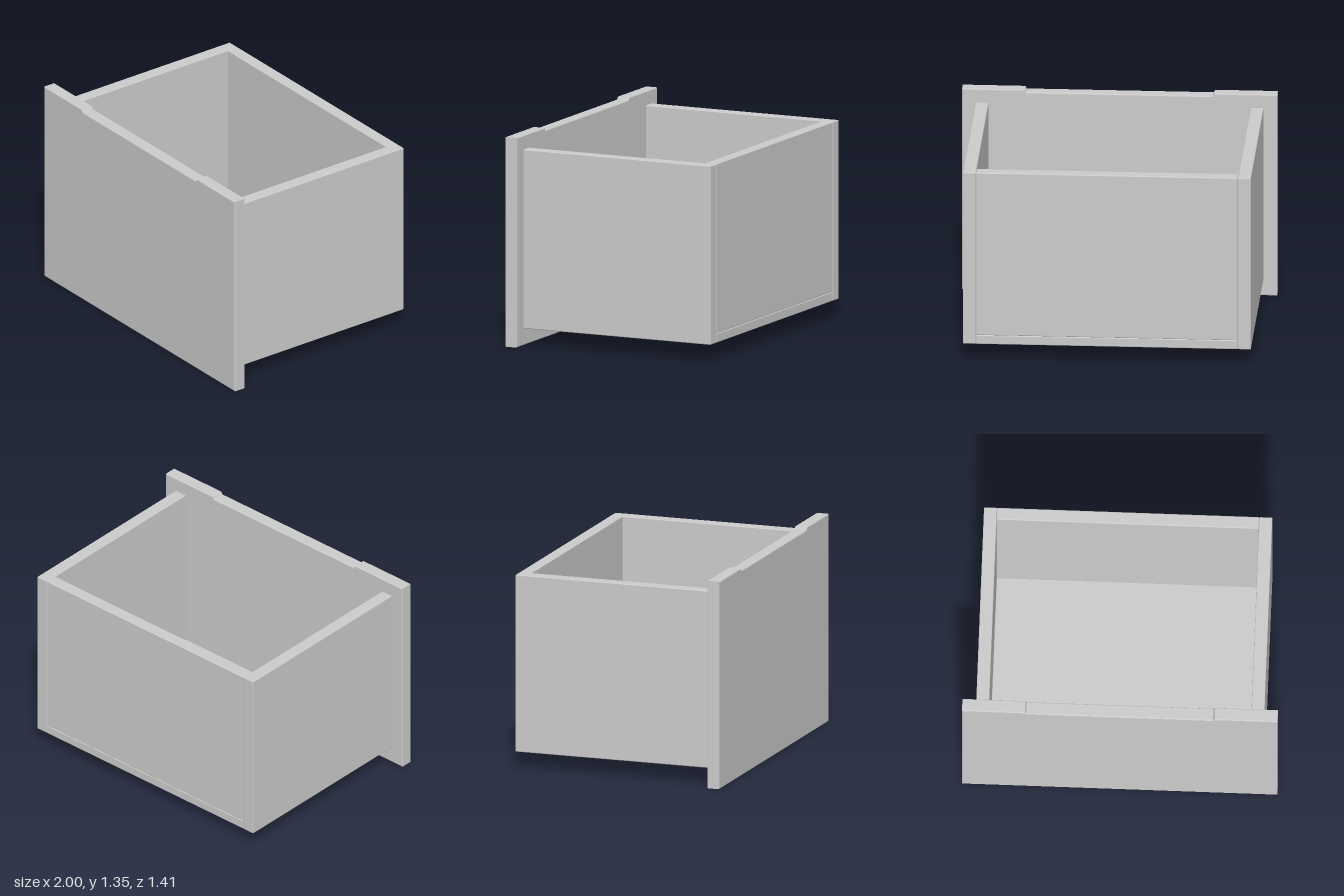
import * as THREE from 'three';
import { RoundedBoxGeometry } from 'three/addons/geometries/RoundedBoxGeometry.js';

const material = new THREE.MeshStandardMaterial({ color: 0xcccccc });

// Board with softly rounded edges, given by its minimum and maximum corners
function board(name, min, max) {
  const size = max.map((v, i) => v - min[i]);
  const mesh = new THREE.Mesh(new RoundedBoxGeometry(...size, 2, 0.006), material);
  mesh.position.set(...max.map((v, i) => (v + min[i]) / 2));
  mesh.name = name;
  return mesh;
}

// Face panel with a shallow finger recess along its top edge
function facePanel() {
  const b = 0.006, w = 1 - b, top = 1.35 - b, dip = 1.333 - b;
  const shape = new THREE.Shape();
  shape.moveTo(-w, b);
  shape.lineTo(w, b);
  shape.lineTo(w, top);
  shape.lineTo(0.605, top);
  shape.lineTo(0.595, dip);
  shape.lineTo(-0.595, dip);
  shape.lineTo(-0.605, top);
  shape.lineTo(-w, top);
  shape.closePath();
  const geometry = new THREE.ExtrudeGeometry(shape, {
    depth: 0.083 - 2 * b, bevelEnabled: true, bevelSize: b, bevelThickness: b, bevelSegments: 2,
  });
  geometry.translate(0, 0, 0.622 + b);
  const mesh = new THREE.Mesh(geometry, material);
  mesh.name = 'frontPanel';
  return mesh;
}

export function createModel() {
  const drawer = new THREE.Group();
  drawer.name = 'drawer';
  const inner = 0.831, outer = 0.914, low = 0.11, high = 1.262, back = -0.705, front = 0.622;

  drawer.add(
    facePanel(),
    board('leftSide', [inner, low, back], [outer, high, front]),
    board('rightSide', [-outer, low, back], [-inner, high, front]),
    board('backPanel', [-inner, low + 0.06, back], [inner, high, back + 0.08]),
    board('bottomPanel', [-inner, low, back], [inner, low + 0.06, front]),
  );
  return drawer;
}
